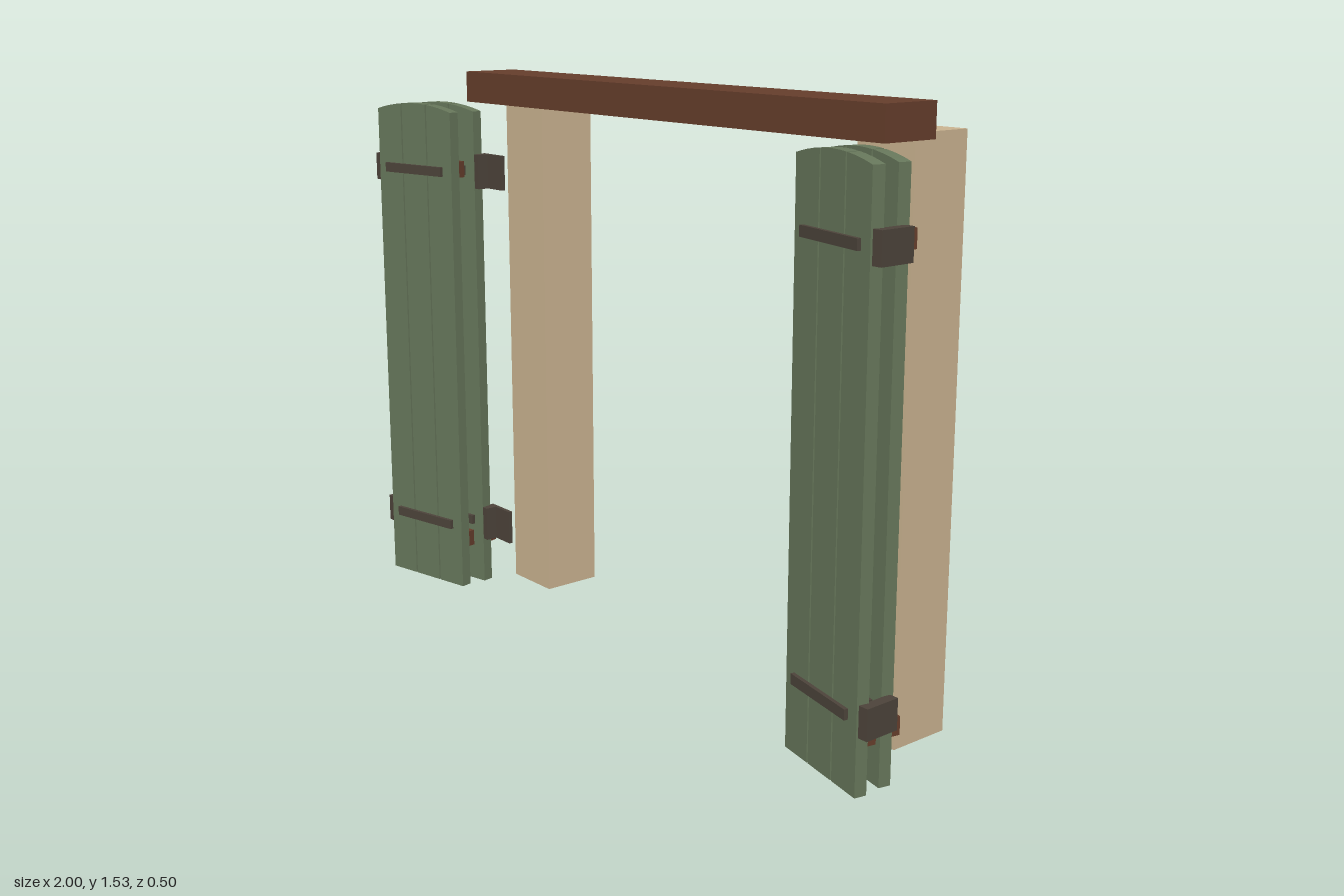
import * as THREE from 'three';

const mat = (name, color) => {
  const m = new THREE.MeshStandardMaterial({ color });
  m.name = name;
  return m;
};

export function createModel() {
  const group = new THREE.Group();
  const stone = mat('sandstone', 0xc9b28f);
  const wood = mat('brown wood', 0x653d2b);
  const paint = mat('green paint', 0x66765a);
  const iron = mat('dark iron', 0x4c433a);

  // Box given by its lower and upper corners
  function box(parent, name, material, x0, x1, y0, y1, z0, z1) {
    const mesh = new THREE.Mesh(new THREE.BoxGeometry(x1 - x0, y1 - y0, z1 - z0), material);
    mesh.position.set((x0 + x1) / 2, (y0 + y1) / 2, (z0 + z1) / 2);
    mesh.name = name;
    parent.add(mesh);
  }

  const W = 0.29, T = 0.031, GAP = 0.005, BOTTOM = 0.05;
  const archTop = x => 1.452 - 0.02 * (x / (W / 2)) ** 2;

  // One shutter leaf: three boards under a shared arch, rear battens, front straps
  function leaf(name) {
    const g = new THREE.Group();
    g.name = name;
    const bw = (W - 2 * GAP) / 3;
    for (let i = 0; i < 3; i++) {
      const x0 = -W / 2 + i * (bw + GAP);
      const shape = new THREE.Shape();
      shape.moveTo(x0, BOTTOM);
      shape.lineTo(x0 + bw, BOTTOM);
      for (let k = 0; k <= 4; k++) {
        const x = x0 + bw * (1 - k / 4);
        shape.lineTo(x, archTop(x));
      }
      shape.closePath();
      const geo = new THREE.ExtrudeGeometry(shape, { depth: T, bevelEnabled: false });
      geo.translate(0, 0, -T / 2);
      const board = new THREE.Mesh(geo, paint);
      board.name = 'board';
      g.add(board);
    }
    for (const y of [0.165, 1.25])
      box(g, 'batten', wood, -0.142, 0.142, y, y + 0.045, -T / 2 - 0.023, -T / 2);
    for (const y of [0.235, 1.267])
      box(g, 'strap', iron, -0.111, 0.111, y - 0.013, y + 0.013, T / 2, T / 2 + 0.01);
    return g;
  }

  // Lintel
  box(group, 'lintel', wood, -0.815, 0.815, 1.45, 1.535, -0.12, 0.042);

  for (const s of [-1, 1]) {
    const side = new THREE.Group();
    side.name = s > 0 ? 'leftSide' : 'rightSide';
    group.add(side);
    const sbox = (name, material, a, b, ...rest) =>
      box(side, name, material, Math.min(s * a, s * b), Math.max(s * a, s * b), ...rest);

    // Post
    sbox('post', stone, 0.618, 0.793, 0, 1.465, -0.25, -0.078);

    // Two folded leaves, angled outwards
    for (const [name, z] of [['rearLeaf', 0.121], ['frontLeaf', 0.197]]) {
      const l = leaf(name);
      l.position.set(s * 0.834, 0, z);
      l.rotation.y = -s * 0.21;
      side.add(l);
    }

    // Hinges: wall plate, knuckle, and the outer plate joining the leaves
    for (const y of [0.23, 1.265]) {
      sbox('wallPlate', iron, 0.602, 0.7, y - 0.048, y + 0.048, 0.062, 0.073);
      sbox('hingeKnuckle', iron, 0.67, 0.694, y - 0.048, y + 0.048, 0.065, 0.105);
      sbox('foldPlate', iron, 0.974, 1, y - 0.038, y + 0.038, 0.143, 0.238);
    }
  }
  return group;
}
